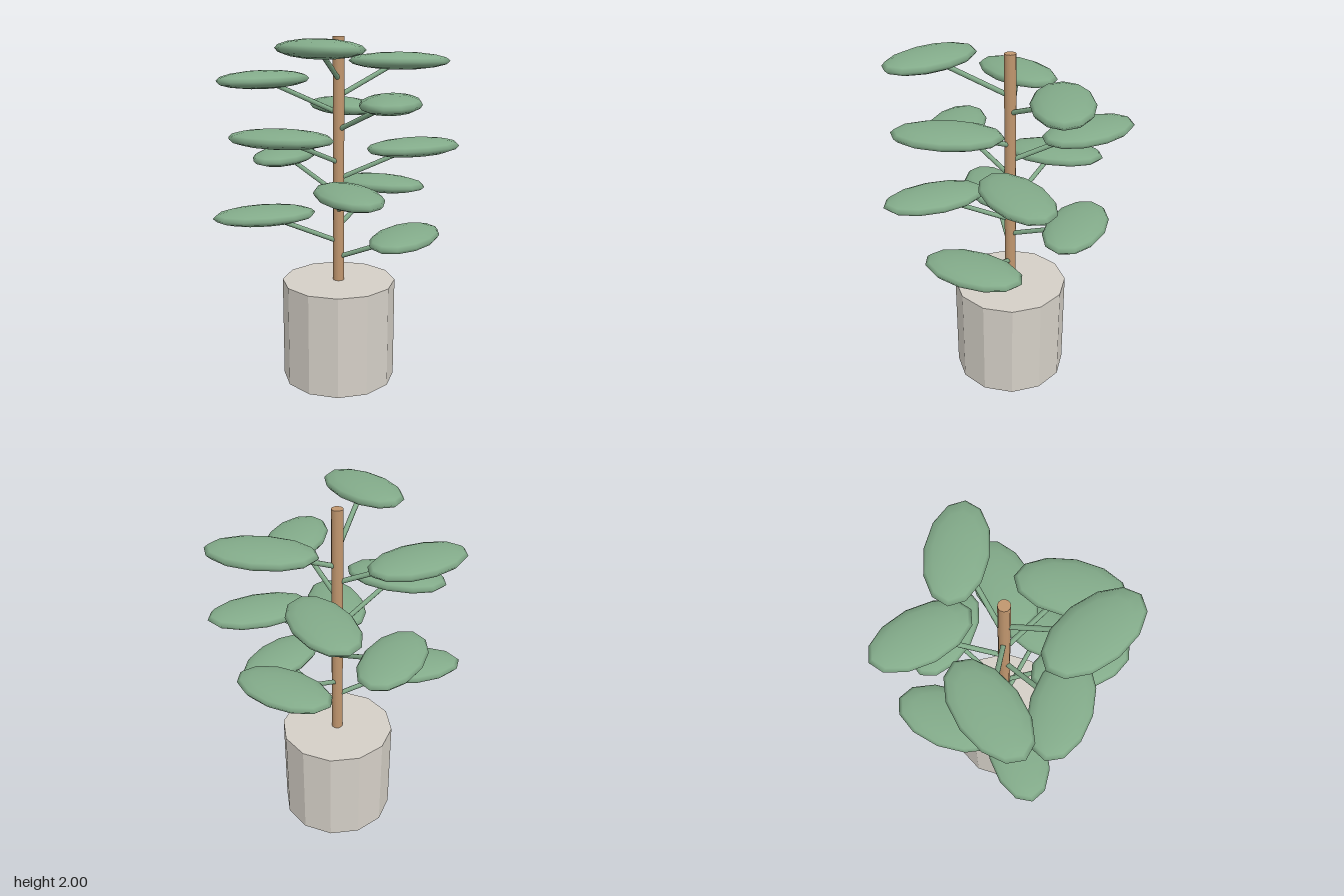
import * as THREE from 'three';

const LEAVES = 12;
const GOLDEN = THREE.MathUtils.degToRad(137.5);

function material(name, color, flatShading = false) {
  const m = new THREE.MeshStandardMaterial({ color, flatShading });
  m.name = name;
  return m;
}

export function createModel() {
  const plant = new THREE.Group();
  plant.name = 'pottedPlant';

  const stone = material('pot grey', 0xd4cfc6, true);
  const bark = material('bark tan', 0xc0966e);
  const green = material('leaf green', 0x82aa89);

  const add = (parent, name, geometry, mat) => {
    const mesh = new THREE.Mesh(geometry, mat);
    mesh.name = name;
    parent.add(mesh);
    return mesh;
  };

  // Twelve-sided pot, closed at the top
  add(plant, 'pot', new THREE.CylinderGeometry(0.33, 0.33, 0.6, 12), stone).position.y = 0.3;

  // Straight trunk, rooted a little inside the pot
  add(plant, 'trunk', new THREE.CylinderGeometry(0.032, 0.032, 1.45, 12), bark).position.y = 1.275;

  // Stems and flat oval leaves, climbing in a golden-angle spiral
  const leafGeometry = new THREE.SphereGeometry(0.164, 12, 8).scale(1, 0.31, 1.8);
  const reach = 0.426;
  const rise = 0.18;
  const stemLength = Math.hypot(reach, rise);
  const stemGeometry = new THREE.CylinderGeometry(0.014, 0.014, stemLength, 8);
  const up = new THREE.Vector3(0, 1, 0);

  for (let i = 0; i < LEAVES; i++) {
    const a = i * GOLDEN;
    const branch = new THREE.Group();
    branch.name = `branch${i + 1}`;
    plant.add(branch);

    const tip = new THREE.Vector3(Math.cos(a) * reach, 0.92 + i * 0.0935, Math.sin(a) * reach);
    const root = new THREE.Vector3(0, tip.y - rise, 0);

    const stem = add(branch, 'stem', stemGeometry, green);
    stem.position.lerpVectors(root, tip, 0.5);
    stem.quaternion.setFromUnitVectors(up, tip.clone().sub(root).normalize());

    const leaf = add(branch, 'leaf', leafGeometry, green);
    leaf.position.copy(tip);
    leaf.rotation.y = a;
  }
  return plant;
}
